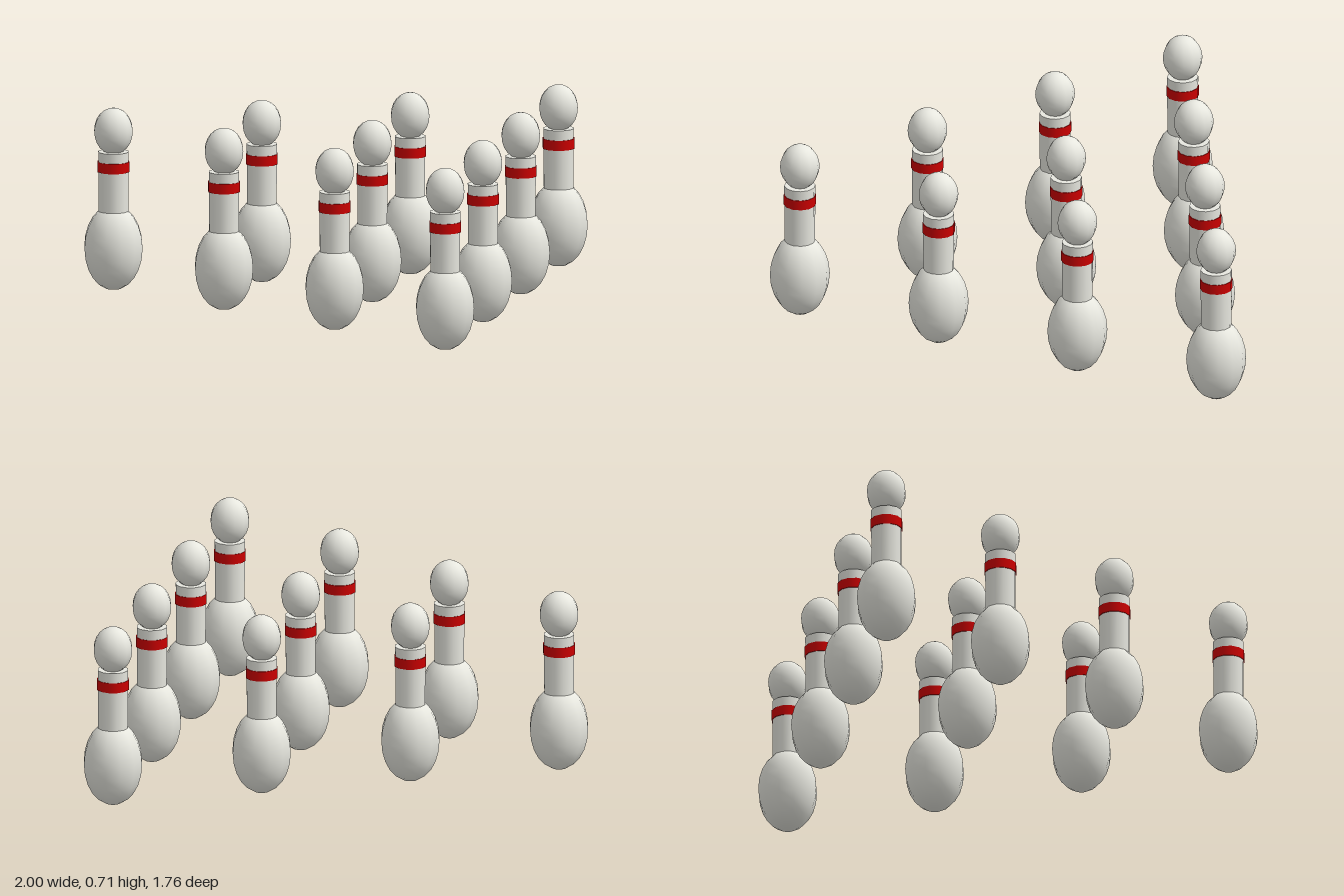
import * as THREE from 'three';

export function createModel() {
  const ivory = new THREE.MeshStandardMaterial({ color: 0xe8e8e0 });
  ivory.name = 'ivory';
  const red = new THREE.MeshStandardMaterial({ color: 0xcc0000 });
  red.name = 'red';

  const sides = 12;
  const ball = new THREE.SphereGeometry(1, sides, sides);
  const bodyGeo = ball.clone().scale(0.115, 0.165, 0.115);
  const headGeo = ball.clone().scale(0.076, 0.09, 0.076);
  const neckGeo = new THREE.CylinderGeometry(0.06, 0.058, 0.29, sides);
  const stripeGeo = new THREE.CylinderGeometry(0.0625, 0.0625, 0.039, sides);

  function addPart(parent, name, geometry, material, y) {
    const mesh = new THREE.Mesh(geometry, material);
    mesh.name = name;
    mesh.position.y = y;
    parent.add(mesh);
  }

  // One pin: egg-shaped body, straight neck with a stripe, oval head
  function createPin() {
    const pin = new THREE.Group();
    pin.name = 'pin';
    addPart(pin, 'body', bodyGeo, ivory, 0.167);
    addPart(pin, 'neck', neckGeo, ivory, 0.395);
    addPart(pin, 'stripe', stripeGeo, red, 0.482);
    addPart(pin, 'head', headGeo, ivory, 0.62);
    return pin;
  }

  // Ten pins in a triangle, single pin at the back
  const model = new THREE.Group();
  model.name = 'pinTriangle';
  const spacing = 0.59;
  const rowDepth = spacing * Math.sqrt(3) / 2;
  for (let row = 0; row < 4; row++) {
    for (let i = 0; i <= row; i++) {
      const pin = createPin();
      pin.position.set((i - row / 2) * spacing, 0, (row - 1.5) * rowDepth);
      model.add(pin);
    }
  }
  return model;
}
